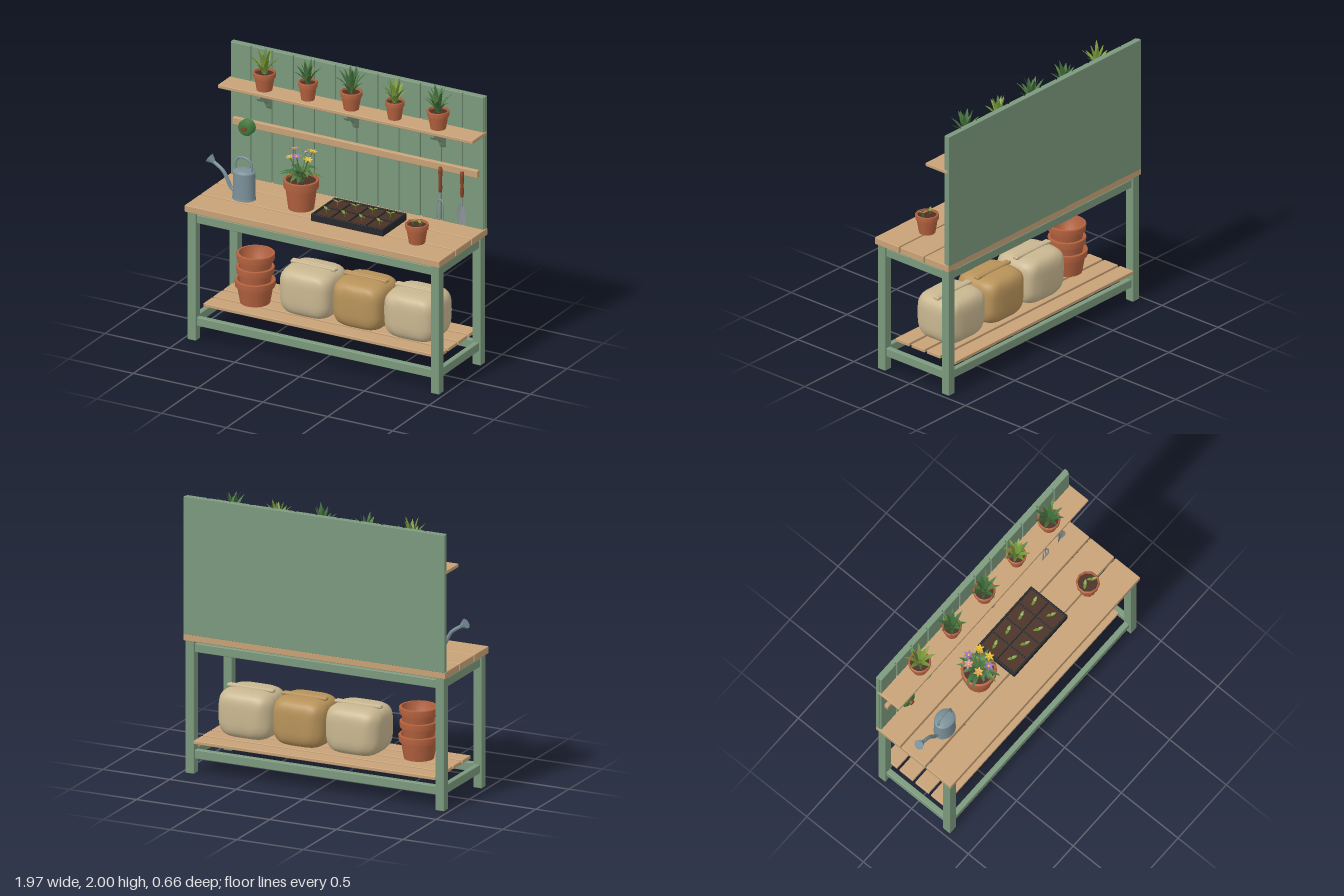
import * as THREE from 'three';
import { RoundedBoxGeometry } from 'three/addons/geometries/RoundedBoxGeometry.js';

const mat = (color) => new THREE.MeshStandardMaterial({ color, side: THREE.DoubleSide });
const M = {
  green: mat(0x7b997d), wood: mat(0xc7a277), clay: mat(0xb5623f), clayDark: mat(0x9c5032),
  soil: mat(0x4a3024), tray: mat(0x25282b), metal: mat(0x7b9099), steel: mat(0x8b9499),
  handle: mat(0x8a4527), twine: mat(0x3f7a3c), leaf: mat(0x42703c), lime: mat(0x7d9c3c),
  stem: mat(0x5a8040), beige: mat(0xc9b791), tan: mat(0xb8935a), yellow: mat(0xf0c030),
  purple: mat(0x9a6fb8), pink: mat(0xd88a98), orange: mat(0xe2a04a),
};
const V = (x, y, z) => new THREE.Vector3(x, y, z);

function add(parent, name, geo, material, x = 0, y = 0, z = 0) {
  const m = new THREE.Mesh(geo, material);
  m.name = name;
  m.position.set(x, y, z);
  parent.add(m);
  return m;
}
function group(parent, name, x = 0, y = 0, z = 0) {
  const g = new THREE.Group();
  g.name = name;
  g.position.set(x, y, z);
  parent.add(g);
  return g;
}
// Softly bevelled box given by its limits on each axis
function box(parent, name, material, x0, x1, y0, y1, z0, z1, r = 0.005) {
  return add(parent, name, new RoundedBoxGeometry(x1 - x0, y1 - y0, z1 - z0, 2, r), material,
    (x0 + x1) / 2, (y0 + y1) / 2, (z0 + z1) / 2);
}
const tube = (pts, r, n = 20) => new THREE.TubeGeometry(new THREE.CatmullRomCurve3(pts), n, r, 8);

// Rimmed terracotta pot, hollow, with optional soil
function pot(parent, name, x, y, z, rim, base, h, soil = true, sides = 28) {
  const g = group(parent, name, x, y, z), rh = h * 0.28, neck = rim * 0.88;
  const pts = [[0, 0], [base, 0], [base, 0], [neck, h - rh], [neck, h - rh], [rim * 0.97, h - rh], [rim * 0.97, h - rh],
    [rim, h - 0.005], [rim - 0.005, h], [rim * 0.86, h], [rim * 0.86, h], [base * 0.88, 0.015], [0, 0.015]];
  add(g, 'potBody', new THREE.LatheGeometry(pts.map((p) => new THREE.Vector2(...p)), sides), M.clay);
  if (soil) add(g, 'soil', new THREE.CylinderGeometry(rim * 0.85, rim * 0.83, 0.01, sides), M.soil, 0, h - 0.02, 0);
  return g;
}
// Tapered, folded leaf: reaches outward along +z while following the height rule
function leaf(parent, material, angle, width, reach, heightAt, start = 0.01) {
  const geo = new THREE.PlaneGeometry(1, 1, 2, 7), p = geo.attributes.position;
  for (let i = 0; i < p.count; i++) {
    const t = p.getY(i) + 0.5, s = p.getX(i);
    const w = width * Math.pow(Math.sin(Math.PI * (0.14 + 0.86 * t)), 0.8) * (t > 0.99 ? 0 : 1);
    p.setXYZ(i, s * w, heightAt(t) + Math.abs(s) * w * 0.4, start + reach * (0.35 * t + 0.65 * t * t));
  }
  geo.computeVertexNormals();
  add(parent, 'leaf', geo, material).rotation.y = angle;
}
// Upright spiky plant
function spikyPlant(parent, y, size, material, turn) {
  const g = group(parent, 'spikyPlant', 0, y, 0);
  for (let i = 0; i < 14; i++) {
    const inner = i >= 8, k = inner ? i - 8 : i;
    const h = size * (inner ? 0.87 + 0.13 * ((k * 3) % 4) / 3 : 0.55 + 0.2 * ((k * 5) % 3) / 2);
    leaf(g, i % 4 === 3 ? M.stem : material, turn + k * Math.PI * 2 / (inner ? 6 : 8) + (inner ? 0.3 : 0),
      0.03, size * (inner ? 0.22 : 0.5), (t) => h * t * (1.15 - 0.15 * t));
  }
}
function seedling(parent, x, y, z, turn) {
  const g = group(parent, 'seedling', x, y, z);
  g.rotation.y = turn;
  add(g, 'sproutStem', new THREE.CylinderGeometry(0.003, 0.003, 0.03, 6), M.stem, 0, 0.01, 0);
  for (const a of [1, -1]) leaf(g, M.lime, a * Math.PI / 2, 0.022, 0.038, (t) => 0.022 + 0.016 * t, 0);
}
function flower(parent, x, y, z, material) {
  add(parent, 'flowerStem', tube([V(x * 0.2, 0, z * 0.2), V(x * 0.45, y * 0.5, z * 0.45), V(x, y, z)], 0.0035, 10), M.stem);
  const g = group(parent, 'flower', x, y, z);
  g.rotation.set(z * 3, 0, -x * 3);
  for (let i = 0; i < 6; i++) leaf(g, material, i * Math.PI / 3, 0.02, 0.036, (t) => 0.008 * t, 0.002);
  add(g, 'flowerCentre', new THREE.SphereGeometry(0.009, 10, 8), M.yellow, 0, 0.004, 0);
}
// Plump filled sack with rolled, stitched top
function sack(parent, x, w, material) {
  const g = group(parent, 'sack', x, 0.238, -0.033);
  const geo = new THREE.SphereGeometry(1, 48, 32), p = geo.attributes.position;
  const sq = (v, e) => Math.sign(v) * Math.pow(Math.abs(v), e);
  for (let i = 0; i < p.count; i++) {
    const y = p.getY(i), r = Math.hypot(p.getX(i), p.getZ(i)) || 1e-6;
    const ring = Math.pow(Math.min(1, r), 0.42) * (1 - 0.05 * (y < 0 ? -y : 0));
    const px = sq(p.getX(i) / r, 0.5) * ring, pz = sq(p.getZ(i) / r, 0.55) * ring;
    const crease = 1 + 0.012 * Math.sin(9 * px + 4 * y) * Math.cos(7 * pz);
    p.setXYZ(i, px * w / 2 * crease, 0.168 + sq(y, 0.5) * 0.168, pz * 0.18 * crease);
  }
  geo.computeVertexNormals();
  add(g, 'sackBody', geo, material);
  box(g, 'sackFold', material, -w * 0.42, w * 0.42, 0.322, 0.346, -0.015, 0.012, 0.008);
  add(g, 'rolledTop', new THREE.CapsuleGeometry(0.013, w * 0.8, 4, 10), material, 0, 0.336, -0.022).rotation.z = Math.PI / 2;
}

export function createModel() {
  const root = new THREE.Group();
  root.name = 'pottingBench';

  // Frame: legs, rails, worktop planks and lower slats
  const frame = group(root, 'frame');
  for (const s of [-1, 1]) {
    for (const z of [0.28, -0.29]) box(frame, 'leg', M.green, s * 0.938 - 0.032, s * 0.938 + 0.032, 0, 0.936, z - 0.032, z + 0.032);
    for (const [y0, y1] of [[0.106, 0.168], [0.856, 0.918]]) {
      box(frame, 'sideRail', M.green, s * 0.938 - 0.02, s * 0.938 + 0.02, y0, y1, -0.26, 0.25);
      const z = s > 0 ? 0.28 : -0.29;
      box(frame, 'longRail', M.green, -0.907, 0.907, y0, y1, z - 0.02, z + 0.02);
    }
  }
  for (const [z0, z1] of [[-0.33, -0.117], [-0.107, 0.102], [0.114, 0.33]])
    box(frame, 'worktopPlank', M.wood, -0.983, 0.983, 0.934, 0.984, z0, z1);
  for (let i = 0; i < 4; i++) box(frame, 'lowerSlat', M.wood, -0.907, 0.907, 0.212, 0.238, -0.328 + i * 0.139, -0.208 + i * 0.139);

  // Back panel of narrow boards, shelf with brackets, hanging rail
  const back = group(root, 'backPanel');
  box(back, 'backing', M.green, -0.98, 0.98, 0.98, 1.95, -0.332, -0.302, 0.002);
  for (let i = 0; i < 12; i++) {
    const x = -0.98 + i * 0.1633;
    box(back, 'backBoard', M.green, x + 0.005, x + 0.158, 0.984, 1.95, -0.312, -0.288, 0.004);
  }
  box(back, 'upperShelf', M.wood, -0.983, 0.983, 1.669, 1.695, -0.32, -0.125);
  const profile = new THREE.Shape();
  profile.moveTo(-0.29, 1.67);
  profile.lineTo(-0.125, 1.67);
  profile.lineTo(-0.125, 1.655);
  profile.bezierCurveTo(-0.15, 1.61, -0.18, 1.635, -0.22, 1.6);
  profile.bezierCurveTo(-0.25, 1.575, -0.245, 1.55, -0.275, 1.53);
  profile.lineTo(-0.29, 1.53);
  for (const x of [-0.67, 0, 0.67])
    add(back, 'shelfBracket', new THREE.ExtrudeGeometry(profile, { depth: 0.03, bevelEnabled: false, curveSegments: 10 }),
      M.green, x + 0.015).rotation.y = -Math.PI / 2;
  box(back, 'hangingRail', M.wood, -0.945, 0.945, 1.363, 1.416, -0.29, -0.258);

  // Twine spool on a peg
  const spool = group(root, 'twineSpool', -0.805, 1.39, -0.21);
  spool.rotation.x = Math.PI / 2;
  add(spool, 'peg', new THREE.CylinderGeometry(0.018, 0.018, 0.11, 16), M.handle);
  const wound = [[0.015, -0.036], [0.042, -0.036], [0.053, -0.024], [0.053, 0.024], [0.042, 0.036], [0.015, 0.036]];
  add(spool, 'twine', new THREE.LatheGeometry(wound.map((p) => new THREE.Vector2(...p)), 24), M.twine);
  for (let i = 0; i < 5; i++)
    add(spool, 'twineTurn', new THREE.TorusGeometry(0.051, 0.005, 6, 28), M.twine, 0, -0.022 + i * 0.011, 0).rotation.x = Math.PI / 2;

  // Hanging hand tools
  const grip = [[0, 0], [0.01, 0], [0.014, 0.03], [0.011, 0.08], [0.015, 0.15], [0.012, 0.18], [0, 0.185]].map((p) => new THREE.Vector2(...p));
  const tool = (name, x) => {
    const g = group(root, name, x, 0, -0.243);
    add(g, 'toolHandle', new THREE.LatheGeometry(grip, 14), M.handle, 0, 1.213, 0);
    add(g, 'toolShaft', new THREE.CylinderGeometry(0.006, 0.006, 0.08, 10), M.steel, 0, 1.18, 0);
    return g;
  };
  const fork = tool('handFork', 0.668);
  for (const s of [-1, 0, 1])
    add(fork, 'tine', tube([V(0, 1.165, 0), V(s * 0.022, 1.14, 0.004), V(s * 0.026, 1.08, 0.008), V(s * 0.024, 1.02, 0)], 0.005), M.steel);
  const trowel = tool('trowel', 0.835);
  const blade = new THREE.PlaneGeometry(1, 1, 6, 10), bp = blade.attributes.position;
  for (let i = 0; i < bp.count; i++) {
    const t = bp.getY(i) + 0.5, s = bp.getX(i), w = 0.078 * Math.pow(Math.sin(Math.PI * Math.pow(t, 0.8)), 0.65);
    bp.setXYZ(i, s * w, 1.0 + 0.175 * t, s * s * w * 0.9 - 0.01);
  }
  blade.computeVertexNormals();
  add(trowel, 'trowelBlade', blade, M.steel);

  // Row of potted plants on the shelf
  [0.078, 0.067, 0.076, 0.067, 0.078].forEach((r, i) => {
    const p = pot(root, 'shelfPot', -0.67 + i * 0.335, 1.695, -0.21, r, r * 0.68, 0.13);
    spikyPlant(p, 0.11, r > 0.07 ? 0.195 : 0.175, i === 0 || i === 3 ? M.lime : M.leaf, i * 0.7);
  });

  // Large flowering pot
  const big = pot(root, 'flowerPot', -0.28, 0.984, -0.02, 0.122, 0.088, 0.21);
  const bloom = group(big, 'floweringPlant', 0, 0.185, 0);
  for (let i = 0; i < 14; i++) {
    const h = i % 2 ? 0.1 : 0.065;
    leaf(bloom, i % 3 ? M.leaf : M.stem, i * 2.4, 0.045, i % 2 ? 0.11 : 0.145, (t) => h * Math.sin(t * 2.3));
  }
  [M.yellow, M.purple, M.orange, M.pink, M.purple, M.yellow].forEach((m, i) => {
    const a = 0.4 + i * Math.PI / 3;
    flower(bloom, Math.cos(a) * 0.075, 0.185 + 0.03 * (i % 2), Math.sin(a) * 0.08, m);
  });

  // Seed tray with two rows of four cells
  const tray = group(root, 'seedTray');
  box(tray, 'trayBase', M.tray, -0.11, 0.445, 0.984, 1.0, -0.175, 0.148);
  box(tray, 'traySoil', M.soil, -0.1, 0.435, 0.99, 1.026, -0.165, 0.138, 0.002);
  for (const z of [-0.169, -0.0135, 0.142]) {
    const e = z === -0.0135 ? 0.004 : 0.007;
    box(tray, 'trayWall', M.tray, -0.11, 0.445, 0.986, 1.036, z - e, z + e, 0.002);
  }
  for (let i = 0; i < 5; i++) {
    const x = -0.103 + i * 0.1355, e = i % 4 ? 0.004 : 0.007;
    box(tray, 'trayDivider', M.tray, x - e, x + e, 0.986, 1.036, -0.175, 0.148, 0.002);
    if (i < 4) for (const z of [-0.085, 0.065]) seedling(tray, x + 0.068, 1.026, z, z > 0 ? -0.5 : 0.25);
  }

  // Small seedling pot
  const small = pot(root, 'seedlingPot', 0.69, 0.984, 0.117, 0.082, 0.056, 0.14, true, 10);
  seedling(small, -0.03, 0.125, 0, 0.6);
  seedling(small, 0.03, 0.125, 0.01, -0.7);

  // Watering can
  const can = group(root, 'wateringCan', -0.692, 0.984, 0.03);
  const body = [[0, 0], [0.084, 0], [0.084, 0], [0.084, 0.01], [0.08, 0.014], [0.078, 0.185], [0.08, 0.19], [0.078, 0.2], [0.05, 0.212], [0, 0.214]];
  add(can, 'canBody', new THREE.LatheGeometry(body.map((p) => new THREE.Vector2(...p)), 32), M.metal).scale.z = 0.82;
  add(can, 'canHandle', tube([V(-0.064, 0.19, 0), V(-0.066, 0.245, 0), V(-0.04, 0.29, 0), V(0.02, 0.292, 0), V(0.055, 0.265, 0), V(0.062, 0.19, 0)], 0.008, 30), M.metal);
  add(can, 'spout', tube([V(-0.06, 0.03, 0), V(-0.1, 0.06, 0), V(-0.16, 0.165, 0), V(-0.235, 0.218, 0)], 0.013, 24), M.metal);
  const rose = add(can, 'sprinklerRose', new THREE.CylinderGeometry(0.036, 0.013, 0.045, 20), M.metal, -0.25, 0.228, 0);
  rose.rotation.z = 0.96;

  // Lower shelf: stacked empty pots and sacks
  const stack = group(root, 'stackedPots');
  [[0.14, 0.238], [0.131, 0.334], [0.132, 0.432]].forEach(([r, y], i) =>
    pot(stack, 'emptyPot', -0.615 + (i - 1) * 0.002, y, 0.012, r, r * 0.73, 0.168, false));
  sack(root, -0.193, 0.41, M.beige);
  sack(root, 0.21, 0.395, M.tan);
  sack(root, 0.613, 0.41, M.beige);
  return root;
}
